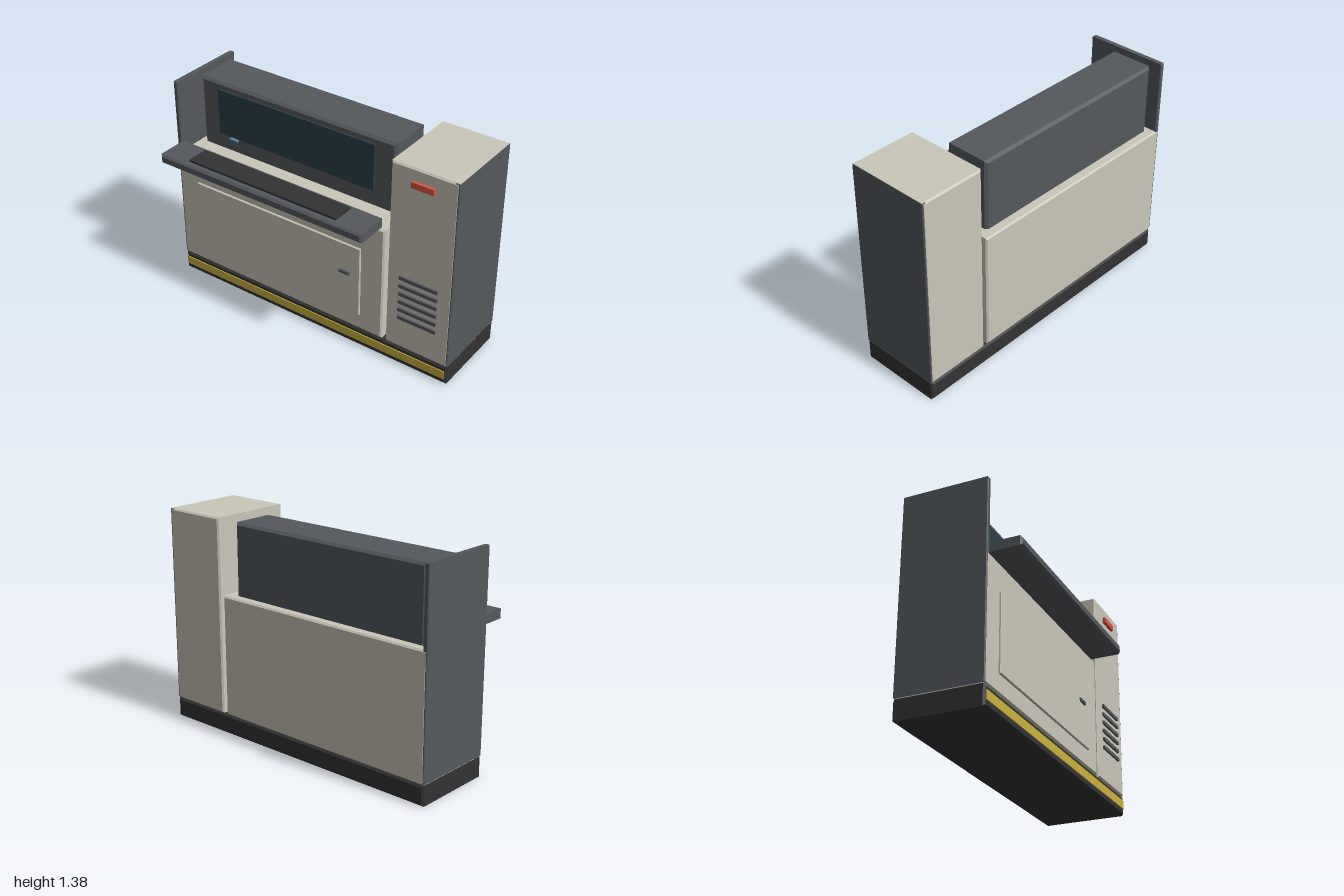
import * as THREE from 'three';

const COLORS = {
  beige: 0xcac6b9, slate: 0x55595d, black: 0x333333, yellow: 0xcbb23f,
  glass: 0x2c404a, red: 0xd9553f, blue: 0x5a9bd0,
};
const materials = {};
for (const [key, color] of Object.entries(COLORS)) {
  materials[key] = new THREE.MeshStandardMaterial({ color, flatShading: true });
}

// Box between two limits per axis, with chamfered edges when c > 0
function block(name, material, [x0, x1], [y0, y1], [z0, z1], c = 0) {
  const w = x1 - x0, h = y1 - y0, d = z1 - z0;
  let geometry;
  if (c > 0) {
    const a = w / 2 - c, b = h / 2 - c;
    const shape = new THREE.Shape([
      new THREE.Vector2(-a, -b), new THREE.Vector2(a, -b),
      new THREE.Vector2(a, b), new THREE.Vector2(-a, b),
    ]);
    geometry = new THREE.ExtrudeGeometry(shape, {
      depth: d - 2 * c, bevelEnabled: true, bevelSize: c, bevelThickness: c, bevelSegments: 1,
    });
    geometry.center();
  } else {
    geometry = new THREE.BoxGeometry(w, h, d);
  }
  const mesh = new THREE.Mesh(geometry, materials[material]);
  mesh.name = name;
  mesh.position.set((x0 + x1) / 2, (y0 + y1) / 2, (z0 + z1) / 2);
  return mesh;
}

export function createModel() {
  const model = new THREE.Group();
  model.name = 'controlConsole';
  const add = (...args) => model.add(block(...args));
  const depth = [-0.365, 0.178];

  // Plinth with a warning stripe
  add('plinth', 'black', [-0.998, 0.998], [0, 0.126], depth, 0.012);
  add('warningStripe', 'yellow', [-0.985, 0.985], [0.04, 0.095], [0.16, 0.184]);

  // Low cabinet and tall side tower
  add('cabinet', 'beige', [-0.998, 0.545], [0.128, 0.9], depth, 0.01);
  add('tower', 'beige', [0.573, 0.998], [0.128, 1.375], depth, 0.01);

  // Thin end panels
  for (const side of [-1, 1]) {
    const xs = [side * 0.97, side * 1].sort((a, b) => a - b);
    add(side < 0 ? 'rightEndPanel' : 'leftEndPanel', 'slate', xs, [0.132, 1.373], [-0.363, 0.176], 0.005);
  }

  // Access door with handle
  add('door', 'beige', [-0.845, 0.39], [0.24, 0.717], [0.16, 0.191], 0.004);
  add('doorHandle', 'slate', [0.245, 0.32], [0.505, 0.53], [0.18, 0.202], 0.004);

  // Display housing
  add('displayHousing', 'slate', [-0.94, 0.485], [0.885, 1.352], [-0.308, -0.012], 0.016);
  add('screen', 'glass', [-0.803, 0.345], [1.003, 1.307], [-0.03, 0]);
  add('screenLamp', 'blue', [-0.725, -0.665], [0.98, 0.992], [-0.03, 0.003]);

  // Overhanging desk and keyboard
  add('desk', 'slate', [-0.97, 0.512], [0.905, 0.965], [0.145, 0.368], 0.012);
  add('keyboard', 'black', [-0.77, 0.315], [0.955, 0.978], [0.182, 0.328]);

  // Tower lamp and ventilation slats
  add('statusLamp', 'red', [0.712, 0.857], [1.26, 1.297], [0.16, 0.197]);
  for (let i = 0; i < 6; i++) {
    const y = 0.353 + i * 0.0563;
    add('ventSlat', 'slate', [0.657, 0.912], [y - 0.011, y + 0.011], [0.16, 0.191]);
  }
  return model;
}
